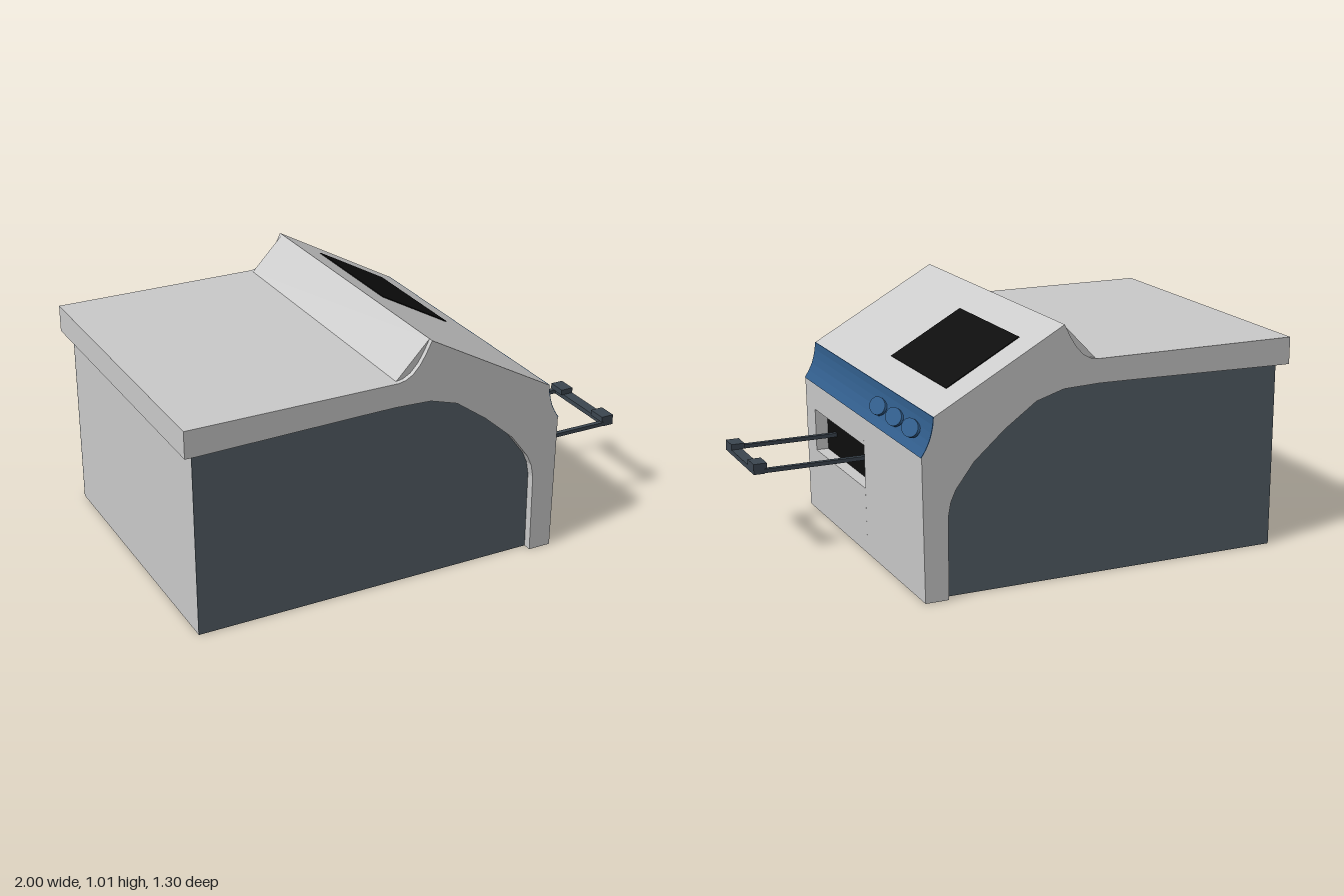
import * as THREE from 'three';

const mat = (color) => new THREE.MeshStandardMaterial({ color });
const grey = mat(0xcccccc), slate = mat(0x556068), black = mat(0x0d0d0d);
const blue = mat(0x315d8b), dark = mat(0x3c4650);

const HALF = 0.65, RECESS = 0.035;
const SLOT = { z0: -0.045, z1: 0.54, y0: 0.275, y1: 0.455, back: 0.52 };

export function createModel() {
  const group = new THREE.Group();

  const add = (name, geometry, material, parent = group) => {
    const mesh = new THREE.Mesh(geometry, material);
    mesh.name = name;
    parent.add(mesh);
    return mesh;
  };
  const box = (name, x0, x1, y0, y1, z0, z1, material, parent) => {
    const mesh = add(name, new THREE.BoxGeometry(x1 - x0, y1 - y0, z1 - z0), material, parent);
    mesh.position.set((x0 + x1) / 2, (y0 + y1) / 2, (z0 + z1) / 2);
    return mesh;
  };
  // Side profile in x, y extruded from z0 to z1
  const prism = (name, points, z0, z1, material, parent) => {
    const shape = new THREE.Shape(points.map(([x, y]) => new THREE.Vector2(x, y)));
    const geometry = new THREE.ExtrudeGeometry(shape, { depth: z1 - z0, bevelEnabled: false });
    geometry.translate(0, 0, z0);
    return add(name, geometry, material, parent);
  };

  // Shared profile curves
  const ridgeBack = [[-0.14, 0.87], [-0.11, 0.876], [-0.08, 0.893], [-0.05, 0.925], [-0.025, 0.965], [0, 1.015]];
  const fascia = [[0.53, 0.72], [0.532, 0.69], [0.538, 0.66], [0.547, 0.63], [0.561, 0.6], [0.58, 0.57]];
  const arch = [[0.475, 0], [0.475, 0.33], [0.465, 0.385], [0.445, 0.43], [0.37, 0.53], [0.245, 0.64],
    [0.115, 0.733], [0, 0.768], [-0.15, 0.774], [-0.3, 0.772], [-0.96, 0.76]];
  const notch = [[0.578, SLOT.y1], [SLOT.back, SLOT.y1], [SLOT.back, SLOT.y0], [0.575, SLOT.y0]];
  const shellProfile = (cut) => [[-1, 0.76], [-1, 0.87], ...ridgeBack, ...fascia, ...cut, [0.57, 0], ...arch];

  // Outer shell: roof, ridge and front wall, notched where the slot is
  const shell = new THREE.Group();
  shell.name = 'outerShell';
  group.add(shell);
  prism('shellBack', shellProfile([]), -HALF, SLOT.z0, grey, shell);
  prism('shellSlotSection', shellProfile(notch), SLOT.z0, SLOT.z1, grey, shell);
  prism('shellFront', shellProfile([]), SLOT.z1, HALF, grey, shell);
  prism('ridgeSlope', [[-0.14, 0.87], [0, 1.015], [0, 0.87]], -HALF + 0.02, HALF - 0.02, grey, shell);

  // Inner body with a dark panel on each side
  const bodyOutline = [[-0.96, 0], ...arch];
  const inner = HALF - RECESS;
  prism('body', bodyOutline, -inner + 0.004, inner - 0.004, grey);
  for (const s of [-1, 1]) {
    const z = s * (inner - 0.002);
    prism('sidePanel', bodyOutline, z - 0.002, z + 0.002, slate);
  }

  // Concave control strip and its three oval knobs
  const skin = fascia.map(([x, y]) => [x + 0.003, y]);
  prism('controlStrip', [...fascia, ...skin.reverse()], -HALF, HALF, blue);
  for (const z of [-0.155, -0.325, -0.49]) {
    const knob = new THREE.CylinderGeometry(1, 1, 0.01, 40);
    knob.scale(0.035, 1, 0.0725);
    const mesh = add('knob', knob, blue);
    mesh.position.set(0.557, 0.641, z);
    mesh.rotation.z = -Math.PI / 3;
  }

  // Display lying on the slanted front face
  const slope = (x) => 1.015 - (0.295 / 0.53) * x;
  prism('display', [[0.12, slope(0.12)], [0.42, slope(0.42)], [0.422, slope(0.42) + 0.003],
    [0.122, slope(0.12) + 0.003]], -0.51, 0.045, black);

  // Dark back of the slot
  box('slotBack', SLOT.back - 0.01, SLOT.back + 0.003, SLOT.y0, SLOT.y1, SLOT.z0, SLOT.z1, black);

  // Pull-out rack: two rails, a crossbar and raised corners
  const rack = new THREE.Group();
  rack.name = 'rack';
  group.add(rack);
  const rackZ = 0.255, rackHalf = 0.19;
  box('crossbar', 0.955, 1, 0.355, 0.375, rackZ - rackHalf, rackZ + rackHalf, dark, rack);
  for (const s of [-1, 1]) {
    const edge = rackZ + s * rackHalf;
    const span = (w) => [Math.min(edge, edge - s * w), Math.max(edge, edge - s * w)];
    box('rail', 0.5, 0.955, 0.357, 0.373, ...span(0.02), dark, rack);
    box('raisedCorner', 0.945, 1, 0.375, 0.398, ...span(0.08), dark, rack);
  }

  return group;
}
